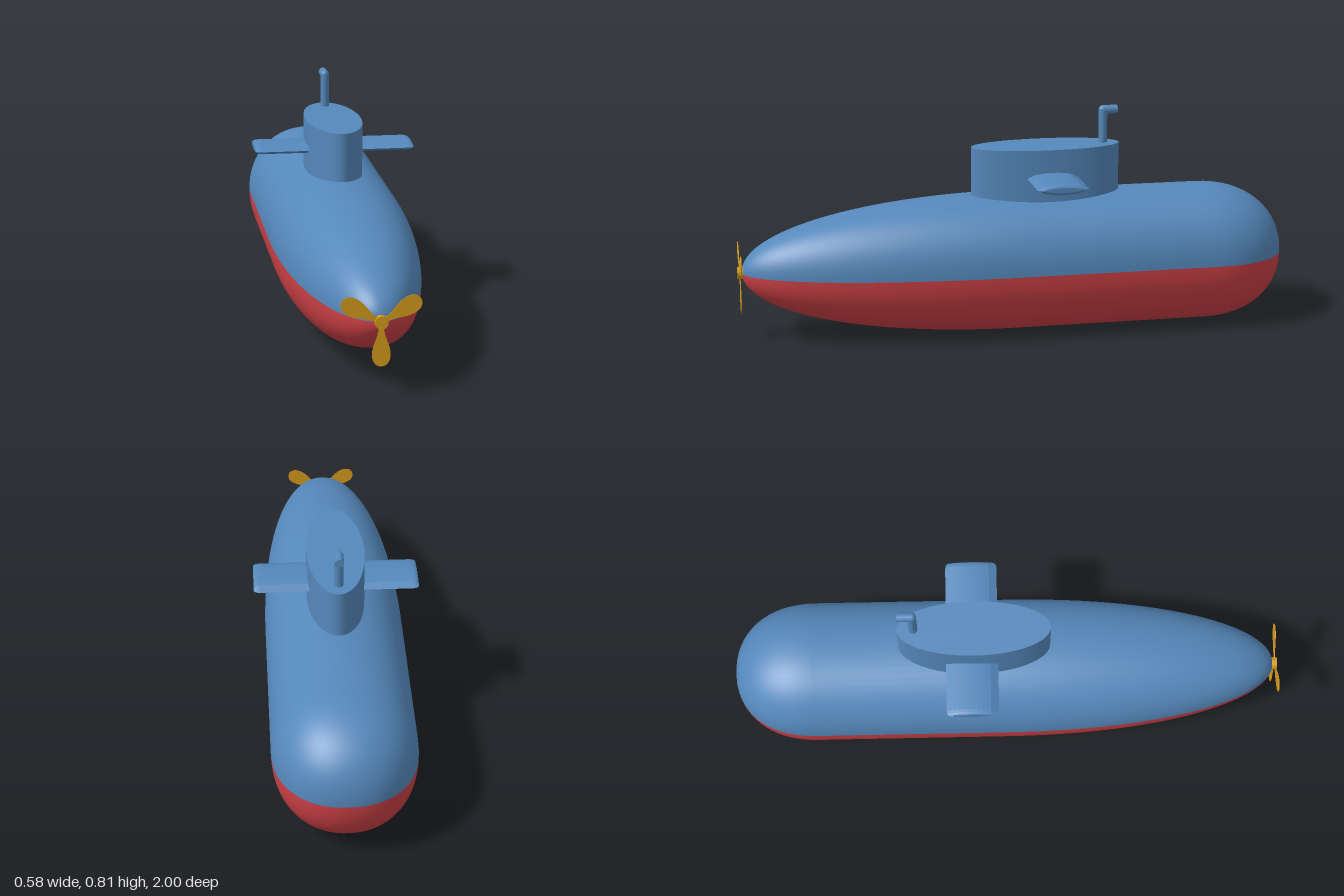
import * as THREE from 'three';

const paint = (color, side = THREE.FrontSide) => new THREE.MeshStandardMaterial({ color, side });

export function createModel() {
  const group = new THREE.Group();
  const blue = paint(0x5588bb), red = paint(0xcc4045), gold = paint(0xd49a1a, THREE.DoubleSide);
  const add = (name, geometry, material, parent = group) => {
    const mesh = new THREE.Mesh(geometry, material);
    mesh.name = name;
    parent.add(mesh);
    return mesh;
  };

  // Hull: blunt rear, straight middle, long tapering nose
  const axisY = 0.253, radius = 0.25;
  const profile = [];
  const arc = (t, n) => [Math.sin(t) ** (2 / n), Math.cos(t) ** (2 / n)];
  for (let i = 0; i <= 16; i++) {
    const [r, u] = arc((i / 16) * Math.PI / 2, 2.2);
    profile.push(new THREE.Vector2(i === 0 ? 0 : r * radius, -0.7 - 0.3 * u));
  }
  for (let i = 0; i <= 28; i++) {
    const [u, r] = arc((i / 28) * Math.PI / 2, 2.06);
    profile.push(new THREE.Vector2(i === 28 ? 0 : r * radius, 0.985 * u));
  }
  const hullHalf = (start) => {
    const g = new THREE.LatheGeometry(profile, 32, start, Math.PI);
    g.rotateX(Math.PI / 2);
    // Slightly squared-off circular section
    const p = g.attributes.position, n = 2.15;
    for (let i = 0; i < p.count; i++) {
      const x = p.getX(i), y = p.getY(i), r = Math.hypot(x, y);
      if (r < 1e-6) continue;
      const k = (Math.abs(x / r) ** n + Math.abs(y / r) ** n) ** (-1 / n);
      p.setXY(i, x * k, y * k);
    }
    g.computeVertexNormals();
    return g.translate(0, axisY, 0);
  };
  add('upperHull', hullHalf(Math.PI / 2), blue);
  add('lowerHull', hullHalf(-Math.PI / 2), red);

  // Elliptical conning tower
  const tower = new THREE.CylinderGeometry(1, 1, 0.235, 40);
  tower.scale(0.102, 1, 0.272);
  add('tower', tower, blue).position.set(0, 0.5575, -0.117);

  // Lens-section diving planes with rounded tips
  const lens = new THREE.Shape();
  lens.moveTo(-0.078, 0);
  lens.quadraticCurveTo(0, 0.019, 0.078, 0);
  lens.quadraticCurveTo(0, -0.019, -0.078, 0);
  const plane = new THREE.ExtrudeGeometry(lens, {
    depth: 0.2, curveSegments: 10, bevelSize: 0.01, bevelThickness: 0.02, bevelSegments: 3,
  });
  for (const s of [1, -1]) {
    const wing = add(s > 0 ? 'leftDivingPlane' : 'rightDivingPlane', plane, blue);
    wing.rotation.y = s * Math.PI / 2;
    wing.position.set(s * 0.07, 0.573, -0.125);
  }

  // Periscope: mast, elbow and rear-facing eyepiece
  const periscope = new THREE.Group();
  periscope.name = 'periscope';
  group.add(periscope);
  const tube = 0.016;
  add('mast', new THREE.CylinderGeometry(tube, tube, 0.145, 16), blue, periscope).position.set(0, 0.7225, -0.33);
  add('elbow', new THREE.SphereGeometry(tube, 16, 12), blue, periscope).position.set(0, 0.795, -0.33);
  const eye = add('eyepiece', new THREE.CylinderGeometry(tube, tube, 0.052, 16), blue, periscope);
  eye.rotation.x = Math.PI / 2;
  eye.position.set(0, 0.795, -0.356);

  // Three-bladed propeller
  const propeller = new THREE.Group();
  propeller.name = 'propeller';
  propeller.position.set(0, axisY, 0.99);
  group.add(propeller);
  const hub = add('hub', new THREE.CylinderGeometry(0.022, 0.022, 0.03, 20), gold, propeller);
  hub.rotation.x = Math.PI / 2;
  hub.position.z = -0.005;
  const petal = new THREE.Shape();
  petal.moveTo(-0.007, -0.01);
  petal.bezierCurveTo(-0.01, -0.06, -0.03, -0.07, -0.03, -0.11);
  petal.bezierCurveTo(-0.03, -0.16, 0.03, -0.16, 0.03, -0.11);
  petal.bezierCurveTo(0.03, -0.07, 0.01, -0.06, 0.007, -0.01);
  const blade = new THREE.ExtrudeGeometry(petal, { depth: 0.003, bevelEnabled: false, curveSegments: 10 });
  for (let i = 0; i < 3; i++) {
    add('blade', blade, gold, propeller).rotation.z = (i * 2 * Math.PI) / 3;
  }
  return group;
}
